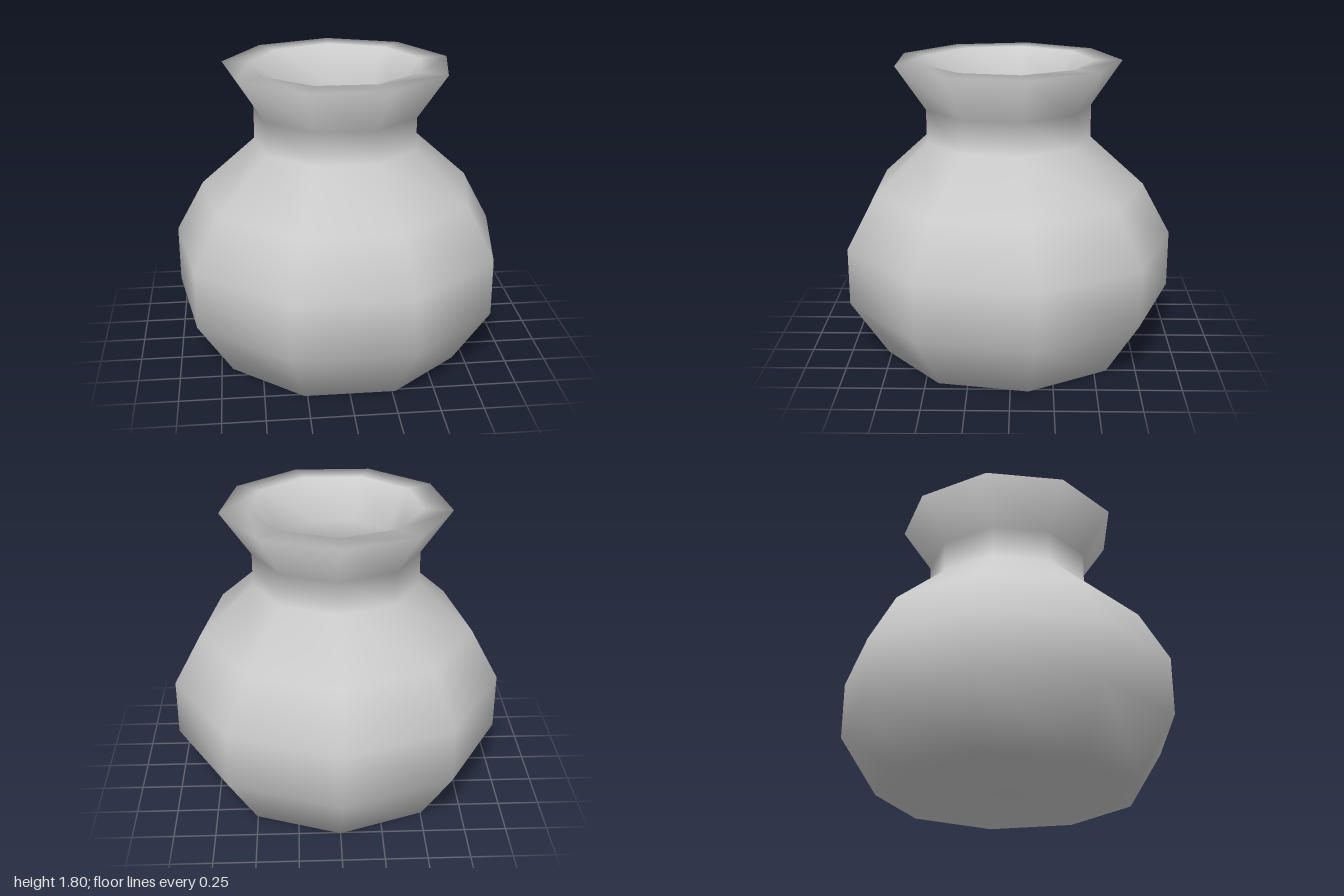
import * as THREE from 'three';

export function createModel() {
  const group = new THREE.Group();
  group.name = 'vase';

  // Closed wall profile [radius, height]: up the outside, over the lip, down the inside
  const profile = [
    [0, 0], [0.787, 0], [1.0155, 0.36], [1.0155, 0.71], [0.84, 1.03],
    [0.508, 1.33], [0.508, 1.53], [0.69, 1.8],
    [0.52, 1.8], [0.375, 1.56], [0.375, 1.28], [0.74, 0.95],
    [0.885, 0.68], [0.885, 0.4], [0.715, 0.13], [0, 0.13],
  ].map(([r, y]) => new THREE.Vector2(r, y));

  // Nine smooth-shaded sides, with one corner pointing to the back
  const pot = new THREE.Mesh(
    new THREE.LatheGeometry(profile, 9, Math.PI),
    new THREE.MeshStandardMaterial({ color: 0xcccccc })
  );
  pot.name = 'pot';
  pot.position.z = 0.03; // centres the odd-sided outline front to back
  group.add(pot);

  return group;
}
